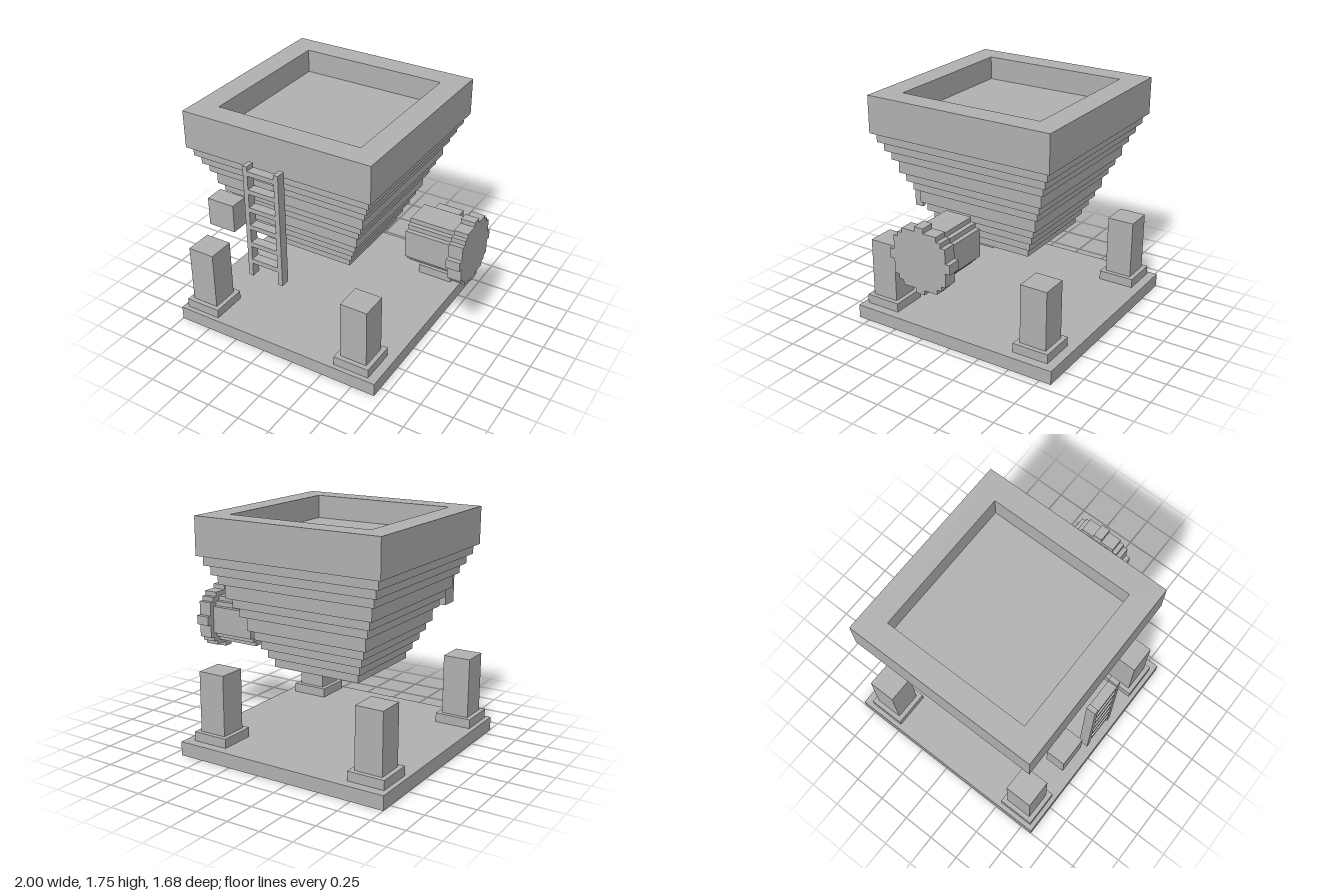
import * as THREE from 'three';

// The model sits on a coarse block grid: 57 blocks span the longest side.
const U = 2 / 57;
const X0 = -1;
const CX = 24; // block column of the base and hopper centre

export function createModel() {
  const model = new THREE.Group();
  const grey = new THREE.MeshStandardMaterial({ color: 0xb2b2b2 });
  grey.name = 'plain grey';

  const add = (name, geometry, parent = model) => {
    const mesh = new THREE.Mesh(geometry, grey);
    mesh.name = name;
    parent.add(mesh);
    return mesh;
  };

  // Box between two block corners
  const block = (name, x0, x1, y0, y1, z0, z1, parent) => {
    const mesh = add(name, new THREE.BoxGeometry((x1 - x0) * U, (y1 - y0) * U, (z1 - z0) * U), parent);
    mesh.position.set(X0 + (x0 + x1) / 2 * U, (y0 + y1) / 2 * U, (z0 + z1) / 2 * U);
    return mesh;
  };

  const group = (name) => {
    const g = new THREE.Group();
    g.name = name;
    model.add(g);
    return g;
  };

  // Base plate
  block('basePlate', 0, 48, 0, 3, -24, 24);

  // Four posts on square footings
  for (const [side, x] of [['Right', 1], ['Left', 38]]) {
    for (const [end, z] of [['front', 15], ['back', -22]]) {
      const leg = group(end + side + 'Leg');
      block('footing', x, x + 8, 3, 5, z, z + 8, leg);
      block('post', x + 1, x + 7, 5, 18, z + 1, z + 7, leg);
    }
  }

  // Stepped hopper, each layer one block wider than the one below
  const hopper = group('hopper');
  const levels = [18, 20, 22, 24, 26, 29, 31, 33, 36, 38, 40, 42];
  for (let i = 0; i < levels.length - 1; i++) {
    const h = 10 + i;
    block('hopperStep', CX - h, CX + h, levels[i], levels[i + 1], -h, h, hopper);
  }
  block('hopperTop', CX - 21, CX + 21, 42, 45, -21, 21, hopper);

  // Open rim around the shallow well
  const square = (Type, h) => new Type([[-h, -h], [h, -h], [h, h], [-h, h]]
    .map(([x, y]) => new THREE.Vector2(x * U, y * U)));
  const rimShape = square(THREE.Shape, 21);
  rimShape.holes.push(square(THREE.Path, 16));
  const rim = add('hopperRim', new THREE.ExtrudeGeometry(rimShape, { depth: 5 * U, bevelEnabled: false })
    .rotateX(-Math.PI / 2), hopper);
  rim.position.set(X0 + CX * U, 45 * U, 0);

  // Ladder
  const ladder = group('ladder');
  block('rail', 19, 20, 19, 44, 22, 24, ladder);
  block('rail', 26, 27, 19, 44, 22, 24, ladder);
  for (let y = 22; y <= 42; y += 4) block('rung', 20, 26, y, y + 1, 22, 24, ladder);

  // Control box
  block('controlBox', 10, 16, 28, 34, 20, 24);

  // Stepped round prism along x, from one quadrant of its outline
  const drum = (name, quadrant, x0, x1, parent) => {
    const points = [];
    for (const [sx, sy] of [[1, 1], [-1, 1], [-1, -1], [1, -1]]) {
      const part = quadrant.map(([x, y]) => new THREE.Vector2(x * sx * U, y * sy * U));
      points.push(...(sx * sy > 0 ? part : part.reverse()));
    }
    const geometry = new THREE.ExtrudeGeometry(new THREE.Shape(points), { depth: (x1 - x0) * U, bevelEnabled: false });
    const mesh = add(name, geometry.rotateY(Math.PI / 2), parent);
    mesh.position.set(X0 + x0 * U, 24 * U, 0);
  };

  // Motor with a toothed end flange
  const motor = group('motor');
  drum('motorBody', [[5, 3], [4, 3], [4, 4], [3, 4], [3, 5]], 44, 54, motor);
  drum('motorFlange', [[7, 1], [6, 1], [6, 4], [5, 4], [5, 5], [4, 5], [4, 6], [1, 6], [1, 7]], 54, 57, motor);

  return model;
}
